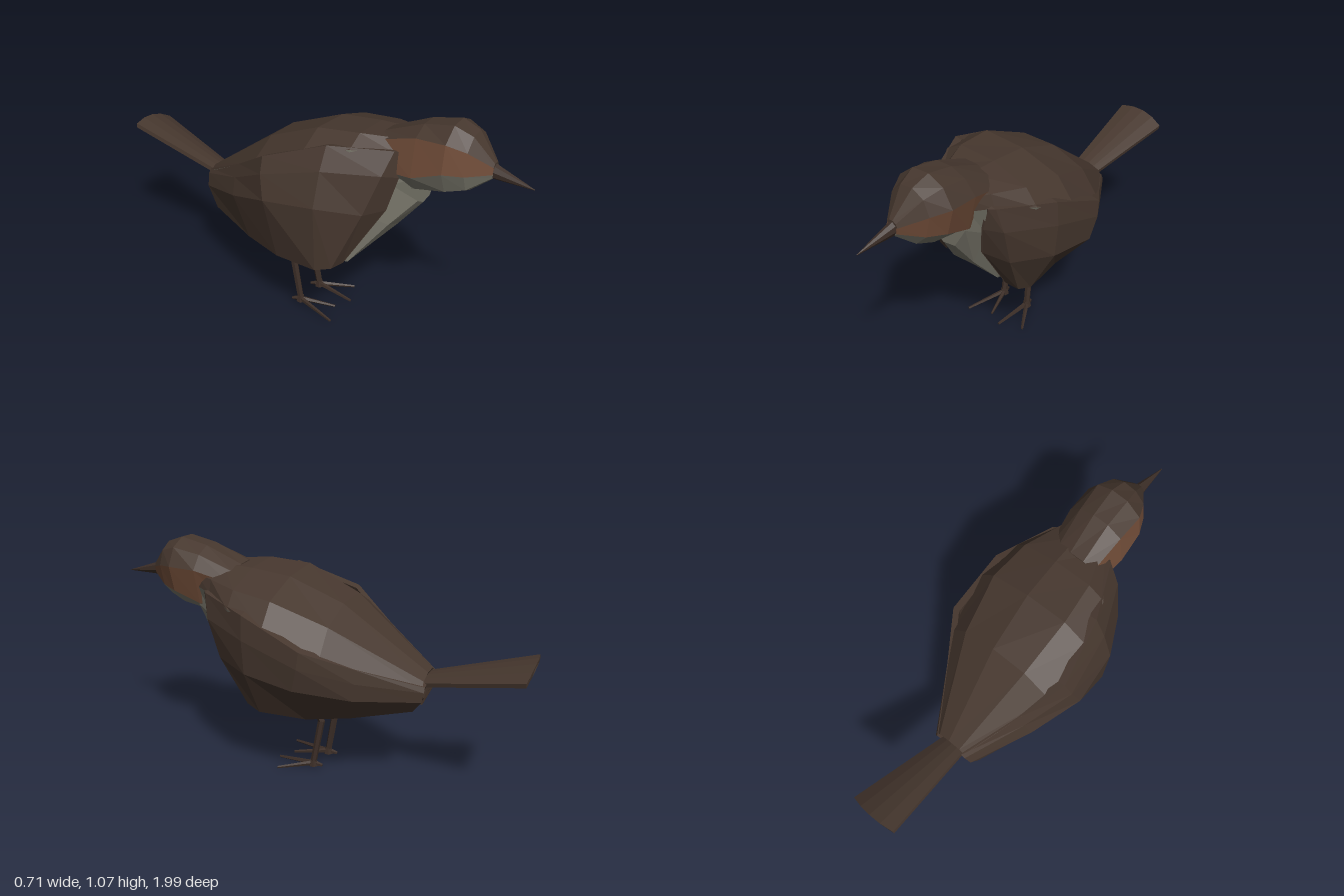
import * as THREE from 'three';

const mat = (name, color) => {
  const m = new THREE.MeshStandardMaterial({ color });
  m.name = name;
  return m;
};

// Flat-shaded skin over closed rings running front to back; keep(j) picks the strips
function loft(name, rings, material, keep = () => true) {
  const pos = [];
  const n = rings[0].length;
  for (let i = 0; i < rings.length - 1; i++) {
    for (let j = 0; j < n; j++) {
      if (!keep(j)) continue;
      const k = (j + 1) % n;
      const a = rings[i][j], b = rings[i][k], c = rings[i + 1][k], d = rings[i + 1][j];
      pos.push(...a, ...b, ...c, ...a, ...c, ...d);
    }
  }
  const g = new THREE.BufferGeometry();
  g.setAttribute('position', new THREE.Float32BufferAttribute(pos, 3));
  g.computeVertexNormals();
  const mesh = new THREE.Mesh(g, material);
  mesh.name = name;
  return mesh;
}

// Mirrored point; the right side hangs lower near the belly so the underside stays level
const toRight = ([x, y, z]) => [-x, y - 0.055 * THREE.MathUtils.clamp((0.5 - y) / 0.12, 0, 1), z];

// Mirror a half outline (top centre to bottom centre) into a full ring
function mirrorRing(z, half) {
  const left = half.map(([x, y, pz = z]) => [x, y, pz]);
  return [...left, ...left.slice(1, -1).reverse().map(toRight)];
}

// Close both ends of a list of rings
function capped(rings) {
  const shrink = (r) => {
    const c = [0, 1, 2].map((k) => r.reduce((s, p) => s + p[k], 0) / r.length);
    return r.map(() => c);
  };
  return [shrink(rings[0]), ...rings, shrink(rings[rings.length - 1])];
}

// Tapered rod between two points
function rod(name, a, b, ra, rb, material, sides = 6) {
  const A = new THREE.Vector3(...a), B = new THREE.Vector3(...b);
  const dir = B.clone().sub(A);
  const g = new THREE.CylinderGeometry(rb, ra, dir.length(), sides).toNonIndexed();
  g.computeVertexNormals();
  const mesh = new THREE.Mesh(g, material);
  mesh.name = name;
  mesh.position.copy(A).add(B).multiplyScalar(0.5);
  mesh.quaternion.setFromUnitVectors(new THREE.Vector3(0, 1, 0), dir.normalize());
  return mesh;
}

export function createModel() {
  const brown = mat('feather brown', 0x46372e);
  const chestnut = mat('cheek chestnut', 0x704c38);
  const grey = mat('belly grey', 0x78766a);
  const horn = mat('leg and beak brown', 0x3c2e27);

  const bird = new THREE.Group();
  bird.name = 'bird';

  // Trunk leans to its left and turns slightly, around mid height
  const trunk = new THREE.Group();
  trunk.name = 'trunk';
  trunk.position.y = 0.6;
  trunk.rotation.set(0, 0.06, -0.21);
  const inner = new THREE.Group();
  inner.name = 'trunkParts';
  inner.position.y = -0.6;
  trunk.add(inner);
  bird.add(trunk);

  // Body: broad brown back down to the wing seam, grey breast and belly
  const body = capped([
    mirrorRing(0.54, [[0, 0.97], [0.08, 0.95], [0.1, 0.9], [0.1, 0.8], [0.06, 0.69], [0, 0.67]]),
    mirrorRing(0.44, [[0, 0.975], [0.12, 0.95], [0.15, 0.895], [0.13, 0.75], [0.095, 0.56], [0, 0.54]]),
    mirrorRing(0.29, [[0, 0.97], [0.18, 0.945], [0.25, 0.885], [0.2, 0.62], [0.13, 0.395], [0, 0.375]]),
    mirrorRing(0.1, [[0, 0.95], [0.2, 0.925], [0.3, 0.84], [0.26, 0.6], [0.15, 0.365], [0, 0.345]]),
    mirrorRing(-0.15, [[0, 0.85], [0.17, 0.82], [0.285, 0.72], [0.22, 0.55], [0.13, 0.385], [0, 0.36]]),
    mirrorRing(-0.53, [[0, 0.565], [0.06, 0.555], [0.085, 0.53], [0.07, 0.5, -0.51],
      [0.06, 0.44, -0.45], [0, 0.43, -0.45]]),
  ]);
  const isBack = (j) => Math.min(j, 9 - j) < 2;
  inner.add(loft('back', body, brown, isBack));
  inner.add(loft('belly', body, grey, (j) => !isBack(j)));

  // Folded wings: each column lists points from top edge to bottom edge
  const wingColumns = [
    [[0.14, 0.9, 0.47], [0.135, 0.79, 0.47], [0.125, 0.63, 0.43], [0.18, 0.4, 0.29]],
    [[0.165, 0.905, 0.45], [0.21, 0.8, 0.43], [0.235, 0.62, 0.38], [0.235, 0.39, 0.27]],
    [[0.285, 0.888, 0.2], [0.315, 0.78, 0.2], [0.332, 0.62, 0.2], [0.255, 0.37, 0.2]],
    [[0.326, 0.775, -0.08], [0.345, 0.7, -0.07], [0.352, 0.59, -0.04], [0.225, 0.355, -0.02]],
    [[0.215, 0.66, -0.28], [0.235, 0.6, -0.28], [0.25, 0.52, -0.27], [0.165, 0.365, -0.22]],
    [[0.075, 0.535, -0.54], [0.09, 0.515, -0.54], [0.1, 0.47, -0.53], [0.08, 0.4, -0.48]],
  ];
  for (const name of ['leftWing', 'rightWing']) {
    const rings = wingColumns.map((col, i) => {
      const t = i === 0 ? 0.01 : 0.035;
      const ring = [...col, ...col.map(([x, y, z]) => [x - t, y, z]).reverse()];
      return name === 'leftWing' ? ring : ring.map(toRight).reverse();
    });
    inner.add(loft(name, capped(rings), brown));
  }

  // Head: brown crown, chestnut cheeks, grey throat
  const headRings = capped([
    mirrorRing(0.83, [[0, 0.935], [0.018, 0.93], [0.028, 0.915], [0.026, 0.885], [0.015, 0.87], [0, 0.866]]),
    mirrorRing(0.74, [[0, 1.045], [0.06, 1.025], [0.1, 0.965], [0.095, 0.865], [0.05, 0.8], [0, 0.79]]),
    mirrorRing(0.66, [[0, 1.075], [0.08, 1.055], [0.14, 0.985], [0.132, 0.86], [0.07, 0.775], [0, 0.765]]),
    mirrorRing(0.53, [[0, 1.045], [0.075, 1.03], [0.138, 0.98], [0.13, 0.81], [0.07, 0.75], [0, 0.74]]),
    mirrorRing(0.36, [[0, 0.97], [0.07, 0.96], [0.12, 0.93], [0.11, 0.8], [0.07, 0.7], [0, 0.66]]),
  ]);
  const head = new THREE.Group();
  head.name = 'head';
  head.position.x = -0.022;
  const band = (j) => Math.min(j, 9 - j);
  head.add(loft('crown', headRings, brown, (j) => band(j) < 2));
  head.add(loft('cheeks', headRings, chestnut, (j) => band(j) === 2));
  head.add(loft('throat', headRings, grey, (j) => band(j) > 2));
  const beak = rod('beak', [0, 0.9, 0.8], [0, 0.866, 1.0], 0.037, 0.002, horn, 8);
  beak.scale.x = 0.78;
  head.add(beak);
  inner.add(head);

  // Tail: thin fan, gently arched across, with a rounded end
  const tailRing = (z, y, w, arch, round) => {
    const top = [-1, -0.5, 0, 0.5, 1].map((u) =>
      [u * w - 0.012, y + 0.01 + arch * (1 - u * u), z - round * (1 - u * u)]);
    return [...top, ...top.map(([x, py, pz]) => [x, py - 0.02, pz]).reverse()];
  };
  inner.add(loft('tail', capped([
    tailRing(-0.48, 0.515, 0.055, 0.01, 0),
    tailRing(-0.98, 0.65, 0.12, 0.025, 0.012),
  ]), brown));

  // Legs and feet: two long front toes and a short hind claw each
  const legs = [
    { name: 'leftLeg', hip: [0.042, 0.42, 0.05], knee: [0.016, 0.25, -0.03], foot: [0.026, 0.03, 0.008],
      toes: [[0.018, 0.008, 0.2], [0.125, 0.008, 0.15]] },
    { name: 'rightLeg', hip: [-0.11, 0.42, 0.05], knee: [-0.126, 0.25, -0.03], foot: [-0.124, 0.03, 0.008],
      toes: [[-0.168, 0.012, 0.215], [-0.06, 0.008, 0.165]] },
  ];
  for (const { name, hip, knee, foot, toes } of legs) {
    const leg = new THREE.Group();
    leg.name = name;
    leg.add(rod('thigh', hip, knee, 0.02, 0.017, horn));
    leg.add(rod('shank', knee, foot, 0.017, 0.015, horn));
    const [x, y, z] = foot;
    leg.add(rod('footJoint', [x, 0.01, z], [x, y + 0.01, z], 0.022, 0.016, horn));
    toes.forEach((t) => leg.add(rod('frontToe', [x, y - 0.006, z], t, 0.012, 0.006, horn, 5)));
    leg.add(rod('hindClaw', [x, y - 0.005, z], [x - 0.012, 0.014, z - 0.042], 0.014, 0.007, horn, 5));
    bird.add(leg);
  }
  return bird;
}
